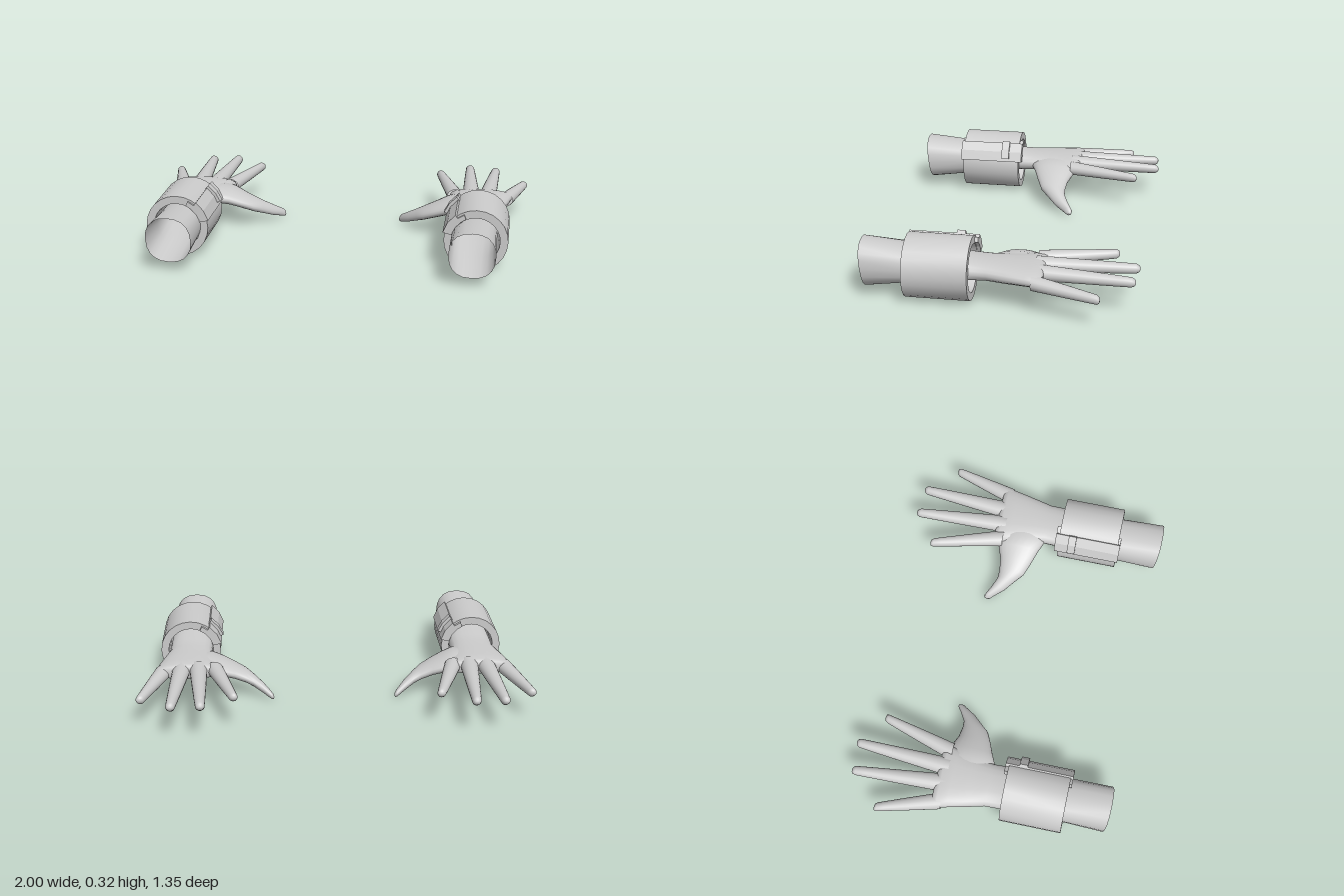
import * as THREE from 'three';
import { toCreasedNormals } from 'three/addons/utils/BufferGeometryUtils.js';

const SIDES = 20;
const CUFF = { x: 0.758, y: 0.163 };

// Skin over oval sections [x, y, z, halfWidth, halfHeight, slant], across z or across x
function loft(sections, axis = 'z', power = 1) {
  const pos = [], index = [];
  const bulge = v => Math.sign(v) * Math.abs(v) ** power;
  for (const [x, y, z, w, h, slant = 0] of sections) {
    for (let j = 0; j < SIDES; j++) {
      const a = (j / SIDES) * Math.PI * 2;
      const u = w * bulge(Math.cos(a)), v = h * bulge(Math.sin(a));
      if (axis === 'z') pos.push(x + u, y + v, z + v * slant);
      else pos.push(x, y + v, z - u);
    }
  }
  for (let i = 0; i < sections.length - 1; i++) {
    for (let j = 0; j < SIDES; j++) {
      const a = i * SIDES + j, b = i * SIDES + (j + 1) % SIDES;
      index.push(a, a + SIDES, b, b, a + SIDES, b + SIDES);
    }
  }
  const g = new THREE.BufferGeometry();
  g.setAttribute('position', new THREE.Float32BufferAttribute(pos, 3));
  g.setIndex(index);
  g.computeVertexNormals();
  return g;
}

// Tapered finger with a rounded, blunt tip
function finger(base, tip, rBase = 0.045) {
  const a = new THREE.Vector3(...base), b = new THREE.Vector3(...tip);
  const steps = [[0, 1], [0.12, 0.95], [0.5, 0.76], [0.85, 0.57], [0.96, 0.5], [0.99, 0.38], [1, 0.2], [1, 0]];
  return loft(steps.map(([t, k]) => {
    const p = a.clone().lerp(b, t);
    return [p.x, p.y, p.z, rBase * k, rBase * (k * 0.6 + 0.22) * (k > 0.45 ? 1 : k * 2)];
  }));
}

// Curved bar lying on the cuff, between two radii and two angles
function arcBar(r0, r1, deg0, deg1, z0, z1, n) {
  const s = new THREE.Shape();
  const at = (r, i) => {
    const a = THREE.MathUtils.degToRad(deg0 + (deg1 - deg0) * i / n);
    return [r * Math.cos(a), r * Math.sin(a)];
  };
  s.moveTo(...at(r1, 0));
  for (let i = 1; i <= n; i++) s.lineTo(...at(r1, i));
  for (let i = n; i >= 0; i--) s.lineTo(...at(r0, i));
  s.closePath();
  const g = new THREE.ExtrudeGeometry(s, { depth: z1 - z0, bevelEnabled: false });
  return g.translate(CUFF.x, CUFF.y, z0);
}

// Mirror across x and restore the face direction
function mirrored(geometry) {
  const g = geometry.index ? geometry.toNonIndexed() : geometry.clone();
  g.scale(-1, 1, 1);
  for (const attr of Object.values(g.attributes)) {
    const n = attr.itemSize, d = attr.array;
    for (let t = 0; t < attr.count; t += 3) {
      for (let k = 0; k < n; k++) {
        const p = (t + 1) * n + k, q = (t + 2) * n + k;
        [d[p], d[q]] = [d[q], d[p]];
      }
    }
  }
  return g;
}

function armParts() {
  const parts = {};

  // Open forearm sleeve narrowing into the wrist and palm
  parts.forearmAndPalm = loft([
    [0.75, 0.165, 0.66, 0.115, 0.12, 0.12],
    [0.748, 0.17, 0.45, 0.113, 0.095],
    [0.75, 0.175, 0.3, 0.113, 0.075],
    [0.752, 0.175, 0.12, 0.113, 0.052],
    [0.754, 0.175, 0.04, 0.113, 0.048],
    [0.757, 0.175, -0.05, 0.133, 0.047],
    [0.756, 0.176, -0.15, 0.157, 0.045],
    [0.757, 0.176, -0.205, 0.168, 0.042],
    [0.757, 0.176, -0.225, 0.162, 0.034],
    [0.757, 0.176, -0.232, 0.15, 0.02],
    [0.757, 0.176, -0.232, 0, 0],
  ], 'z', 0.85);

  // Fingers
  parts.indexFinger = finger([0.622, 0.178, -0.18], [0.513, 0.178, -0.565]);
  parts.middleFinger = finger([0.705, 0.184, -0.18], [0.675, 0.18, -0.678], 0.047);
  parts.ringFinger = finger([0.79, 0.18, -0.18], [0.822, 0.175, -0.668], 0.047);
  parts.littleFinger = finger([0.882, 0.168, -0.18], [0.983, 0.15, -0.515]);

  // Thumb, spreading into the side of the palm
  parts.thumb = loft([
    [0.7, 0.175, -0.075, 0.11, 0.035],
    [0.64, 0.172, -0.08, 0.125, 0.043],
    [0.585, 0.158, -0.09, 0.11, 0.042],
    [0.52, 0.132, -0.09, 0.085, 0.038],
    [0.46, 0.106, -0.1, 0.068, 0.034],
    [0.42, 0.085, -0.122, 0.049, 0.031],
    [0.37, 0.056, -0.16, 0.038, 0.026],
    [0.33, 0.032, -0.201, 0.023, 0.02],
    [0.318, 0.024, -0.207, 0.015, 0.013],
    [0.314, 0.022, -0.208, 0, 0],
  ], 'x');

  // Thick hollow cuff
  const ring = [[0.12, 0], [0.16, 0], [0.16, 0.32], [0.12, 0.32], [0.12, 0]];
  const cuff = new THREE.LatheGeometry(ring.map(p => new THREE.Vector2(...p)), 24);
  cuff.rotateX(Math.PI / 2).translate(CUFF.x, CUFF.y, 0.125);
  parts.cuff = toCreasedNormals(cuff, 0.6);

  // Clasp plate with end lips, and the small latch across it
  parts.claspPlate = arcBar(0.125, 0.17, 128, 166, 0.107, 0.457, 2);
  parts.claspFrontLip = arcBar(0.125, 0.15, 114, 128, 0.445, 0.457, 1);
  parts.claspBackLip = arcBar(0.125, 0.15, 114, 128, 0.107, 0.125, 1);
  parts.claspLatch = arcBar(0.16, 0.185, 127, 160, 0.178, 0.22, 2);
  return parts;
}

export function createModel() {
  const model = new THREE.Group();
  const material = new THREE.MeshStandardMaterial({ color: 0xcccccc, side: THREE.DoubleSide });
  const parts = armParts();
  for (const side of ['left', 'right']) {
    const arm = new THREE.Group();
    arm.name = side + 'Hand';
    for (const [name, geometry] of Object.entries(parts)) {
      const mesh = new THREE.Mesh(side === 'left' ? geometry : mirrored(geometry), material);
      mesh.name = name;
      arm.add(mesh);
    }
    model.add(arm);
  }
  return model;
}
